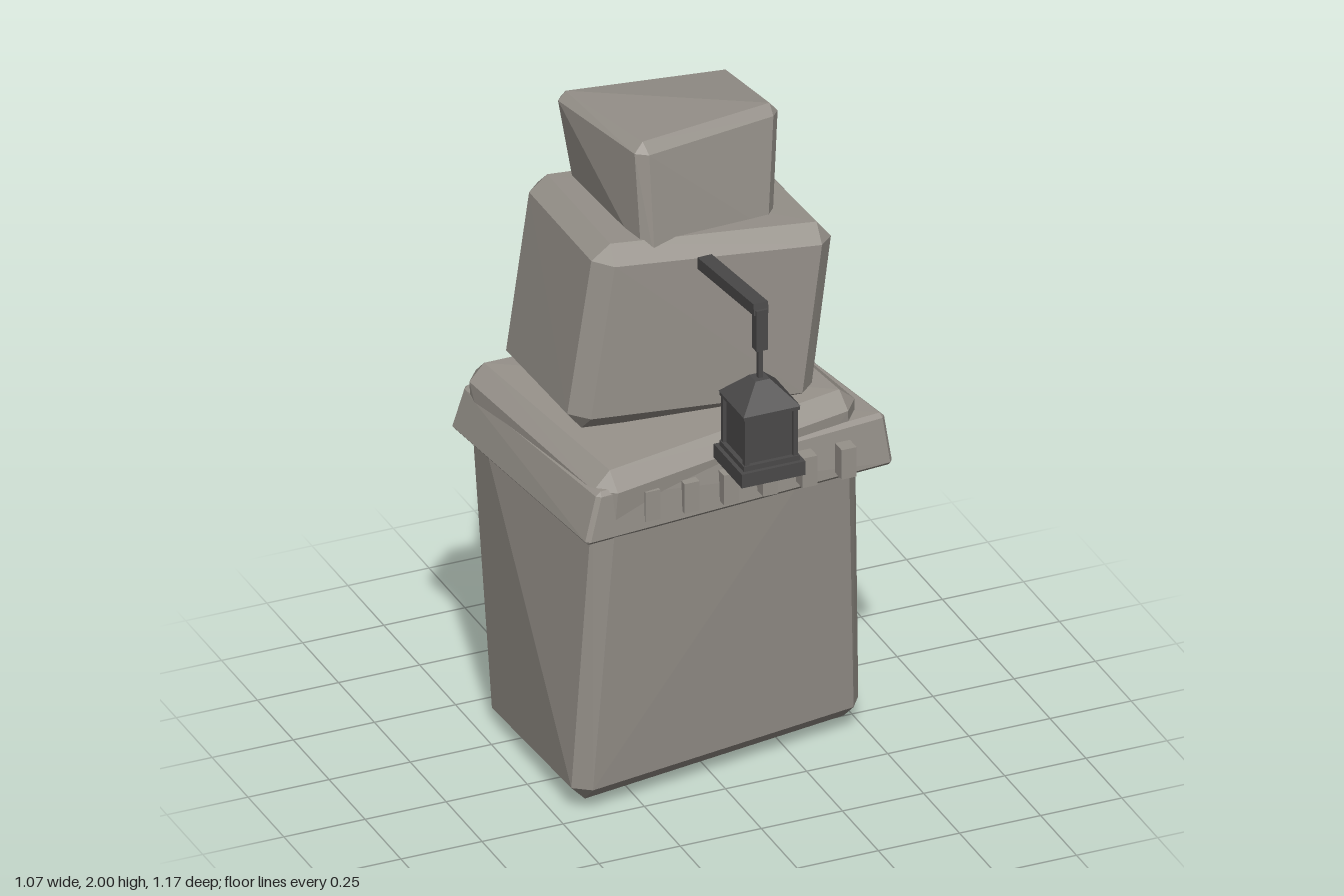
import * as THREE from 'three';
import { ConvexGeometry } from 'three/addons/geometries/ConvexGeometry.js';

const stone = new THREE.MeshStandardMaterial({ name: 'stone', color: 0x96918a });
const iron = new THREE.MeshStandardMaterial({ name: 'darkIron', color: 0x4b4a4a });

function add(parent, name, geometry, material, x = 0, y = 0, z = 0) {
  const mesh = new THREE.Mesh(geometry, material);
  mesh.name = name;
  mesh.position.set(x, y, z);
  parent.add(mesh);
  return mesh;
}

// Crooked block with chamfered edges. Corners run back right, front right,
// front left, back left: first the bottom ring, then the top ring.
function crookedBlock(corners, chamfer) {
  const p = corners.map((c) => new THREE.Vector3(...c));
  const points = [];
  p.forEach((corner, i) => {
    const ring = i < 4 ? 0 : 4;
    const steps = [ring + ((i + 1) % 4), ring + ((i + 3) % 4), (i + 4) % 8]
      .map((n) => p[n].clone().sub(corner).setLength(chamfer));
    // One point on each of the three faces meeting at this corner
    for (let k = 0; k < 3; k++) {
      points.push(corner.clone().add(steps[k]).add(steps[(k + 1) % 3]));
    }
  });
  return new ConvexGeometry(points);
}

const box = (w, h, d) => new THREE.BoxGeometry(w, h, d);

export function createModel() {
  const model = new THREE.Group();
  model.name = 'crookedTower';

  // Stacked stone storeys
  add(model, 'lowerStorey', crookedBlock([
    [-0.445, 0, -0.41], [-0.46, 0.04, 0.255], [0.51, 0.04, 0.095], [0.37, 0, -0.6],
    [-0.515, 1.155, -0.445], [-0.4, 1.11, 0.31], [0.45, 1.155, 0.19], [0.39, 1.14, -0.47],
  ], 0.05), stone);
  add(model, 'middleStorey', crookedBlock([
    [-0.4, 1.13, -0.44], [-0.4, 1.145, 0.085], [0.335, 1.1, 0.13], [0.33, 1.1, -0.45],
    [-0.315, 1.725, -0.44], [-0.315, 1.725, 0.095], [0.41, 1.66, 0.125], [0.395, 1.65, -0.465],
  ], 0.05), stone);
  add(model, 'topStorey', crookedBlock([
    [-0.18, 1.6, -0.4], [-0.17, 1.62, 0.085], [0.265, 1.6, 0.005], [0.265, 1.6, -0.425],
    [-0.255, 1.995, -0.395], [-0.17, 2.003, 0.04], [0.315, 1.985, -0.065], [0.31, 1.93, -0.415],
  ], 0.03), stone);

  // Ledge around the top of the lower storey
  add(model, 'ledge', crookedBlock([
    [-0.54, 0.93, -0.455], [-0.455, 0.915, 0.31], [0.54, 0.905, 0.208], [0.415, 0.935, -0.565],
    [-0.505, 1.075, -0.435], [-0.41, 1.07, 0.295], [0.52, 1.068, 0.19], [0.41, 1.06, -0.555],
  ], 0.012), stone);

  // Row of small teeth on the ledge
  for (let i = 0; i < 6; i++) {
    add(model, 'ledgeTooth', box(0.046, 0.095, 0.046), stone, -0.242 + i * 0.121, 0.993, 0.268);
  }

  // Hanging lantern
  const lantern = new THREE.Group();
  lantern.name = 'lantern';
  model.add(lantern);
  const z = 0.488;
  const arm = add(lantern, 'arm', box(0.045, 0.036, 0.4), iron, 0, 1.657, 0.3);
  arm.rotation.x = -0.125;
  add(lantern, 'armTip', box(0.036, 0.13, 0.03), iron, 0, 1.615, z + 0.004);
  add(lantern, 'hangingRod', box(0.014, 0.12, 0.014), iron, 0, 1.5, z);
  const roof = new THREE.CylinderGeometry(0.022 * Math.SQRT2, 0.088 * Math.SQRT2, 0.07, 4).toNonIndexed();
  roof.rotateY(Math.PI / 4);
  roof.computeVertexNormals();
  add(lantern, 'lanternRoof', roof, iron, 0, 1.422, z);
  add(lantern, 'lanternBody', box(0.145, 0.17, 0.145), iron, 0, 1.3, z);
  for (const sx of [-1, 1]) {
    for (const sz of [-1, 1]) {
      add(lantern, 'cornerPost', box(0.014, 0.17, 0.014), iron, sx * 0.075, 1.3, z + sz * 0.075);
    }
  }
  add(lantern, 'upperFrame', box(0.172, 0.014, 0.172), iron, 0, 1.382, z);
  add(lantern, 'lowerFrame', box(0.172, 0.016, 0.172), iron, 0, 1.22, z);
  add(lantern, 'lanternBase', box(0.196, 0.044, 0.196), iron, 0, 1.19, z);

  return model;
}
